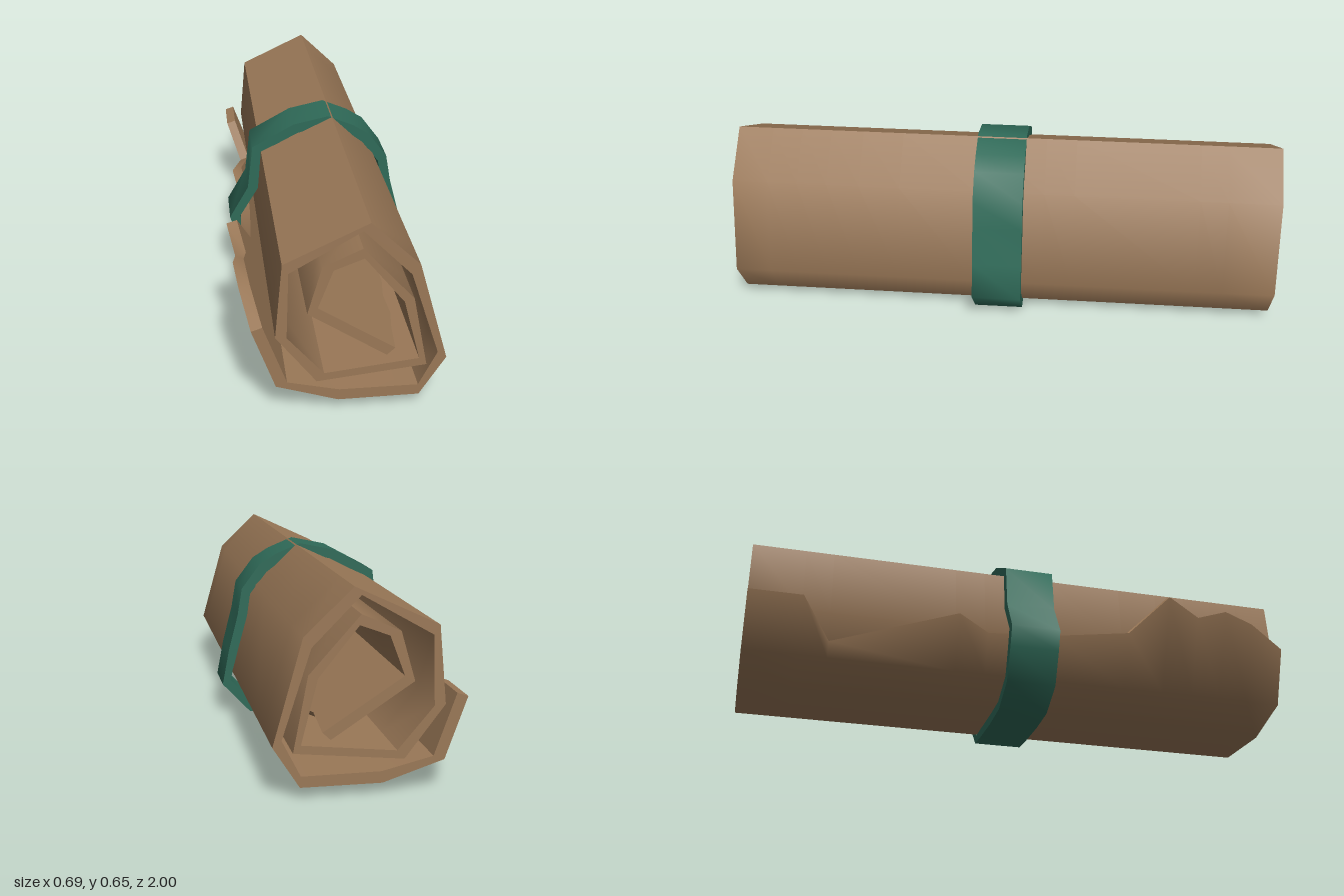
import * as THREE from 'three';
import { toCreasedNormals } from 'three/addons/utils/BufferGeometryUtils.js';

const mix = (a, b, t) => [a[0] + (b[0] - a[0]) * t, a[1] + (b[1] - a[1]) * t];

// Thick strip: rows are { z, pts: [[outer, inner], ...] } running counterclockwise seen from +z
function stripGeometry(rows, closed) {
  const pos = [];
  const quad = (a, b, c, d) => { for (const p of [a, b, c, a, c, d]) pos.push(...p); };
  const n = rows[0].pts.length;
  const at = (r, i, side) => [...rows[r].pts[i % n][side], rows[r].z];
  const last = rows.length - 1;
  const segments = closed ? n : n - 1;
  for (let i = 0; i < segments; i++) {
    const j = i + 1;
    for (let r = 0; r < last; r++) {
      quad(at(r, i, 0), at(r, j, 0), at(r + 1, j, 0), at(r + 1, i, 0));
      quad(at(r, i, 1), at(r + 1, i, 1), at(r + 1, j, 1), at(r, j, 1));
    }
    quad(at(last, i, 0), at(last, j, 0), at(last, j, 1), at(last, i, 1));
    quad(at(0, i, 0), at(0, i, 1), at(0, j, 1), at(0, j, 0));
  }
  // Long edges of an open strip
  if (!closed) for (let r = 0; r < last; r++) {
    quad(at(r, 0, 0), at(r + 1, 0, 0), at(r + 1, 0, 1), at(r, 0, 1));
    quad(at(r, n - 1, 0), at(r, n - 1, 1), at(r + 1, n - 1, 1), at(r + 1, n - 1, 0));
  }
  const geo = new THREE.BufferGeometry();
  geo.setAttribute('position', new THREE.Float32BufferAttribute(pos, 3));
  return toCreasedNormals(geo, THREE.MathUtils.degToRad(55));
}

// Spiral of the sheet, [outer, inner] per fold, from the free flap to the core
const spiral = [
  [[-0.348, 0.44], [-0.313, 0.451]],
  [[-0.225, 0.10], [-0.19, 0.113]],
  [[-0.03, 0.038], [-0.027, 0.075]],
  [[0.225, 0.04], [0.222, 0.075]],
  [[0.308, 0.17], [0.28, 0.19]],
  [[0.215, 0.50], [0.19, 0.468]],
  [[0.062, 0.646], [0.04, 0.62]],
  [[-0.202, 0.522], [-0.183, 0.492]],
  [[-0.225, 0.275], [-0.19, 0.272]],
  [[-0.098, 0.11], [-0.075, 0.138]],
  [[0.246, 0.148], [0.222, 0.172]],
  [[0.20, 0.385], [0.17, 0.375]],
  [[0.04, 0.563], [0.045, 0.53]],
  [[-0.082, 0.508], [-0.048, 0.495]],
  [[-0.127, 0.352], [-0.095, 0.37]],
  [[0.16, 0.165], [0.185, 0.19]],
];

// Torn edges: [z, outer x of the flap, reach of the core end]
const tears = [
  [-1, -0.296, 0.9], [-0.81, -0.296, 0.86], [-0.71, -0.245, 0.93], [-0.26, -0.296, 1],
  [-0.15, -0.276, 0.95], [0.1, -0.282, 0.9], [0.38, -0.296, 0.97], [0.53, -0.348, 1],
  [0.65, -0.326, 0.94], [0.76, -0.338, 0.96], [0.87, -0.326, 0.9], [1, -0.298, 0.86],
];

// Band round the roll, [outer, inner]
const band = [
  [[0.047, 0.65], [0.047, 0.614]],
  [[-0.08, 0.623], [-0.065, 0.59]],
  [[-0.233, 0.54], [-0.2, 0.52]],
  [[-0.253, 0.38], [-0.216, 0.375]],
  [[-0.323, 0.26], [-0.284, 0.265]],
  [[-0.30, 0.19], [-0.265, 0.20]],
  [[-0.25, 0.073], [-0.228, 0.10]],
  [[-0.135, 0.01], [-0.122, 0.043]],
  [[0, 0.002], [0, 0.038]],
  [[0.14, 0.004], [0.14, 0.038]],
  [[0.243, 0.01], [0.228, 0.037]],
  [[0.345, 0.12], [0.315, 0.137]],
  [[0.32, 0.25], [0.285, 0.255]],
  [[0.285, 0.385], [0.25, 0.38]],
  [[0.268, 0.485], [0.237, 0.465]],
  [[0.20, 0.575], [0.175, 0.545]],
  [[0.14, 0.612], [0.12, 0.585]],
];

export function createModel() {
  const paper = new THREE.MeshStandardMaterial({ color: 0x9a7857 });
  paper.name = 'brown paper';
  const ribbon = new THREE.MeshStandardMaterial({ color: 0x2f6a58 });
  ribbon.name = 'green ribbon';
  const group = new THREE.Group();
  group.name = 'scroll';
  const add = (name, geometry, material) => {
    const mesh = new THREE.Mesh(geometry, material);
    mesh.name = name;
    group.add(mesh);
  };

  // Rolled sheet with ragged ends
  const n = spiral.length;
  const rows = tears.map(([z, x, reach]) => {
    const pts = spiral.slice();
    const t = (x + 0.225) / -0.123;
    pts[0] = [0, 1].map((s) => mix(spiral[1][s], spiral[0][s], t));
    pts[n - 1] = [0, 1].map((s) => mix(spiral[n - 2][s], spiral[n - 1][s], reach));
    return { z, pts };
  });
  add('rolledSheet', stripGeometry(rows, false), paper);

  // Tie band
  add('band', stripGeometry([-0.075, 0.105].map((z) => ({ z, pts: band })), true), ribbon);
  return group;
}
